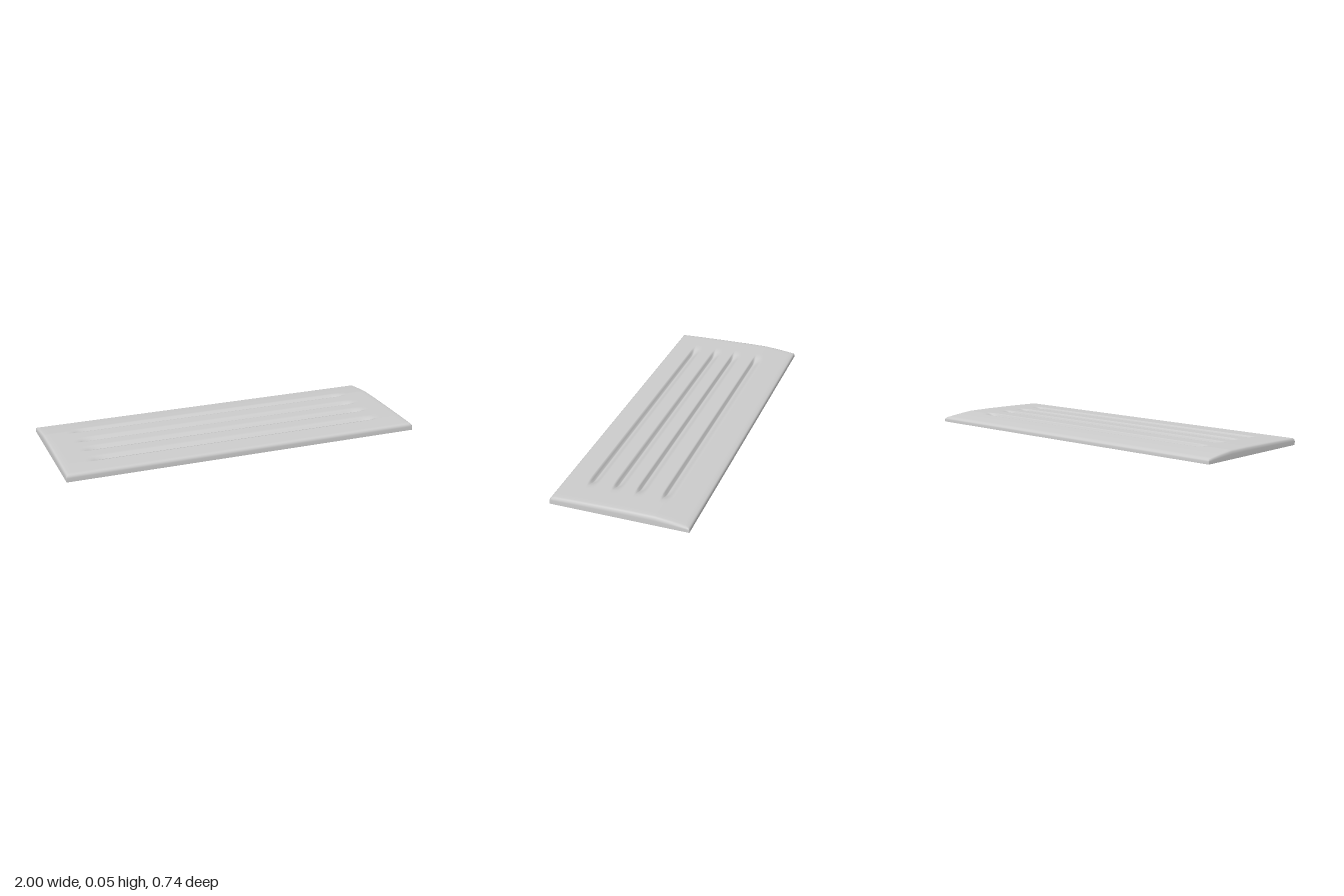
import * as THREE from 'three';

const HX = 1, HZ = 0.372;          // half length and half depth
const RIM = 0.022, WALL = 0.006;   // bottom rim width and sheet thickness
const LOUVRES = [-0.165, -0.025, 0.1, 0.235];
const smooth = THREE.MathUtils.smoothstep;

// crowned side profile: [z, y]
const PROFILE = [[-0.372, 0.025], [-0.34, 0.03], [-0.28, 0.038], [-0.19, 0.047],
  [-0.06, 0.0475], [0.1, 0.045], [0.24, 0.042], [0.372, 0.038]];

function crown(z) {
  let i = 0;
  while (i < PROFILE.length - 2 && z > PROFILE[i + 1][0]) i++;
  const [a, b] = [PROFILE[i], PROFILE[i + 1]];
  return THREE.MathUtils.mapLinear(z, a[0], b[0], a[1], b[1]);
}

// each louvre sinks gently toward the front and returns in a sharp lip
function louvreDip(x, z) {
  let dip = 0;
  for (const lip of LOUVRES) {
    const t = z - lip;
    dip += 0.022 * smooth(t, -0.055, -0.008) * (1 - smooth(t, -0.003, 0.006));
  }
  return dip * (1 - smooth(Math.abs(x), 0.76, 0.84));
}

// stations across one axis; the outer ones roll the edge down to the floor
function stations(half, count, roll) {
  const edge = [[0, 0], [0, 0.55], [0.12, 0.8], [0.4, 0.94], [1, 1]]
    .map(([d, f]) => ({ p: half - d * roll, f }));
  const list = edge.map(({ p, f }) => ({ p: -p, f }));
  const inner = half - roll;
  for (let i = 1; i < count; i++) list.push({ p: -inner + (2 * inner * i) / count, f: 1 });
  return list.concat(edge.reverse());
}

// pressed sheet with rolled edges, seen from above or below
function sheet(inset, drop, faceDown) {
  const xs = stations(HX - inset, 70, 0.018), zs = stations(HZ - inset, 130, 0.022);
  const pos = [], idx = [];
  for (const z of zs) {
    for (const x of xs) {
      const top = crown(z.p) - louvreDip(x.p, z.p) - drop;
      pos.push(x.p, top * Math.min(x.f, z.f), z.p);
    }
  }
  const n = xs.length;
  for (let j = 0; j < zs.length - 1; j++) {
    for (let i = 0; i < n - 1; i++) {
      const a = j * n + i, b = a + 1, c = a + n, d = c + 1;
      if (faceDown) idx.push(a, b, c, b, d, c);
      else idx.push(a, c, b, b, c, d);
    }
  }
  const g = new THREE.BufferGeometry();
  g.setAttribute('position', new THREE.Float32BufferAttribute(pos, 3));
  g.setIndex(idx);
  g.computeVertexNormals();
  return g;
}

function rectangle(path, hx, hz) {
  path.moveTo(-hx, -hz);
  path.lineTo(hx, -hz);
  path.lineTo(hx, hz);
  path.lineTo(-hx, hz);
  path.closePath();
  return path;
}

export function createModel() {
  const group = new THREE.Group();
  group.name = 'louvredPanel';
  const material = new THREE.MeshStandardMaterial({ color: 0xcccccc, side: THREE.DoubleSide });
  const add = (name, geometry) => {
    const mesh = new THREE.Mesh(geometry, material);
    mesh.name = name;
    group.add(mesh);
  };

  add('louvredTop', sheet(0, 0, false));
  add('hollowUnderside', sheet(RIM, WALL, true));

  // flat rim joining the outer skirt to the hollow
  const rim = rectangle(new THREE.Shape(), HX, HZ);
  rim.holes.push(rectangle(new THREE.Path(), HX - RIM, HZ - RIM));
  add('bottomRim', new THREE.ShapeGeometry(rim).rotateX(Math.PI / 2));

  return group;
}
